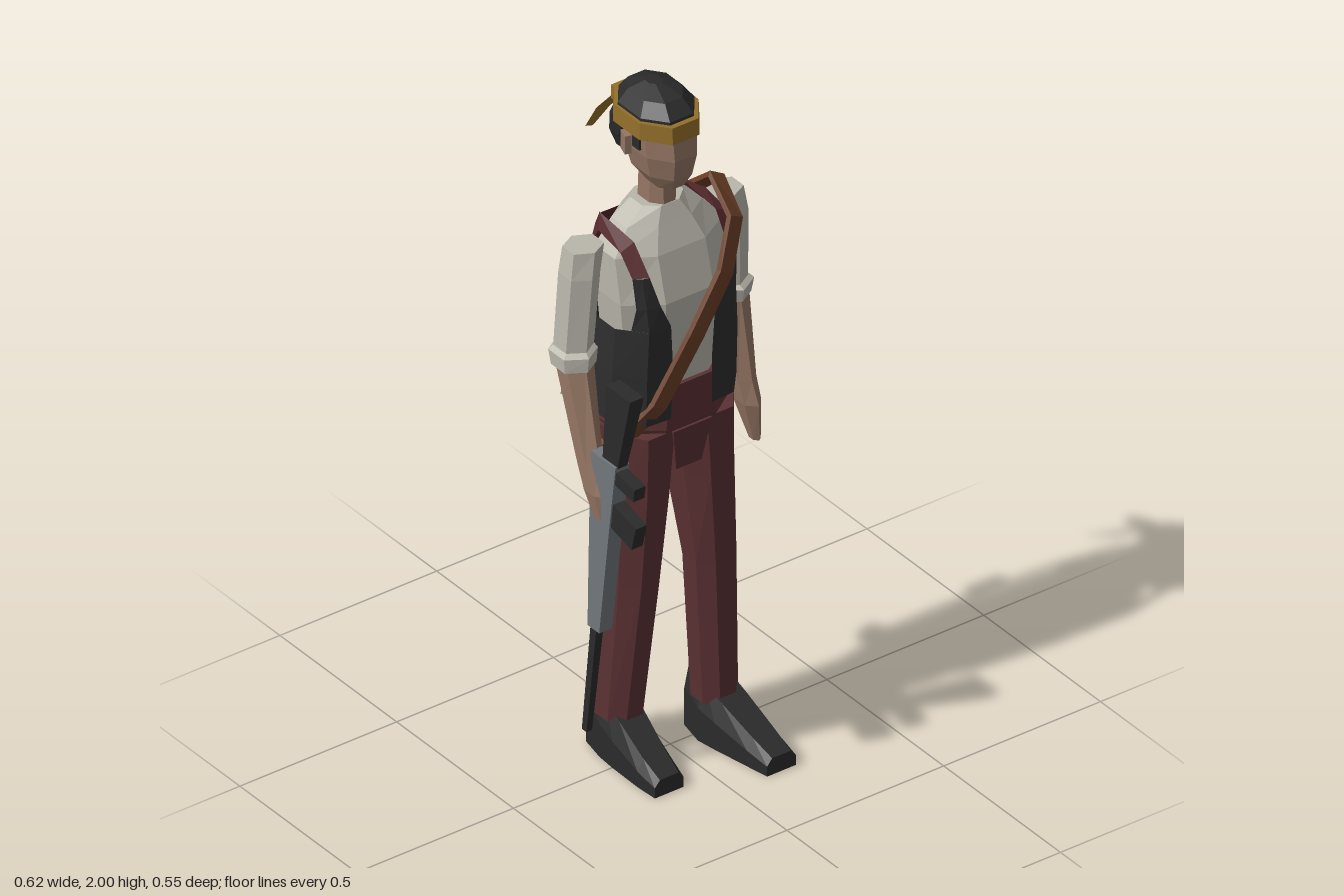
import * as THREE from 'three';

const mat = (name, color, side = THREE.FrontSide) => {
  const m = new THREE.MeshStandardMaterial({ color, flatShading: true, side });
  m.name = name;
  return m;
};

// Cross-sections at height y: rectangle, chamfered octagon, hexagon
const rect = (y, x0, x1, z0, z1) => [[x0, y, z1], [x1, y, z1], [x1, y, z0], [x0, y, z0]];
const oct = (y, x0, x1, z0, z1, c = 0.28) => {
  const dx = (x1 - x0) * c, dz = (z1 - z0) * c;
  return [[x0 + dx, y, z1], [x1 - dx, y, z1], [x1, y, z1 - dz], [x1, y, z0 + dz],
    [x1 - dx, y, z0], [x0 + dx, y, z0], [x0, y, z0 + dz], [x0, y, z1 - dz]];
};
const sym = (y, hx, z0, z1, c) => oct(y, -hx, hx, z0, z1, c);
const hex = (y, cx, cz, rx, rz) => Array.from({ length: 6 }, (_, i) => {
  const a = (i + 0.5) * Math.PI / 3;
  return [cx + Math.cos(a) * rx * 1.12, y, cz - Math.sin(a) * rz];
});

function toGeometry(tris) {
  const g = new THREE.BufferGeometry();
  g.setAttribute('position', new THREE.Float32BufferAttribute(tris.flat(2), 3));
  g.computeVertexNormals();
  return g;
}

// Solid skin through a list of rings, turned so that faces point outwards
function loft(rings, capped = true) {
  const tris = [], n = rings[0].length;
  for (let i = 0; i < rings.length - 1; i++) {
    for (let j = 0; j < n; j++) {
      const k = (j + 1) % n, a = rings[i], b = rings[i + 1];
      tris.push([a[j], a[k], b[k]], [a[j], b[k], b[j]]);
    }
  }
  if (capped) {
    [rings[0], rings.at(-1)].forEach((r, end) => {
      const mid = [0, 1, 2].map(d => r.reduce((s, p) => s + p[d], 0) / n);
      for (let j = 0; j < n; j++) {
        const k = (j + 1) % n;
        tris.push(end ? [r[j], r[k], mid] : [r[k], r[j], mid]);
      }
    });
  }
  const v = p => new THREE.Vector3(...p);
  const volume = tris.reduce((s, t) => s + v(t[0]).dot(v(t[1]).cross(v(t[2]))), 0);
  return toGeometry(volume < 0 ? tris.map(t => [t[0], t[2], t[1]]) : tris);
}

// Open sheet from rows of points, mirrored in x when s is -1
function patch(rows, s = 1) {
  const tris = [];
  const R = rows.map(r => {
    const q = r.map(([x, y, z]) => [x * s, y, z]);
    return s < 0 ? q.reverse() : q;
  });
  for (let i = 0; i < R.length - 1; i++) {
    for (let j = 0; j < R[i].length - 1; j++) {
      tris.push([R[i][j], R[i][j + 1], R[i + 1][j + 1]], [R[i][j], R[i + 1][j + 1], R[i + 1][j]]);
    }
  }
  return toGeometry(tris);
}

export function createModel() {
  const D = THREE.DoubleSide;
  const shirt = mat('shirt', 0xb9b6ab), black = mat('black', 0x2b2b2b), vest = mat('vest', 0x2d2e2d, D);
  const red = mat('darkRed', 0x5b3133), lining = mat('vestLining', 0x56292c, D);
  const skin = mat('skin', 0x957664), gold = mat('gold', 0x94702a, D);
  const leather = mat('leather', 0x6a3e26), steel = mat('steel', 0x71777c);
  const model = new THREE.Group();
  model.name = 'figure';
  const add = (name, geo, m, parent = model) => {
    const mesh = new THREE.Mesh(geo, m);
    mesh.name = name;
    parent.add(mesh);
    return mesh;
  };
  const box = (name, m, size, pos, rot = [0, 0, 0]) => {
    const b = add(name, new THREE.BoxGeometry(...size), m);
    b.position.set(...pos);
    b.rotation.set(...rot);
  };

  // Head, neck and hair
  add('neck', loft([sym(1.6, 0.045, -0.115, 0), sym(1.76, 0.04, -0.11, -0.005)]), skin);
  add('head', loft([sym(1.725, 0.042, -0.07, 0.035), sym(1.765, 0.066, -0.13, 0.055),
    sym(1.83, 0.08, -0.15, 0.068), sym(1.93, 0.086, -0.165, 0.06)]), skin);
  add('hairTop', loft([sym(1.9, 0.088, -0.175, 0.055), sym(1.945, 0.086, -0.17, 0.05),
    sym(1.98, 0.062, -0.145, 0.015), sym(2, 0.02, -0.095, -0.05)]), black);
  add('hairBack', loft([sym(1.79, 0.065, -0.16, -0.1), sym(1.84, 0.083, -0.175, -0.085),
    sym(1.9, 0.09, -0.178, -0.04)]), black);
  for (const s of [1, -1]) {
    box('ear', skin, [0.018, 0.055, 0.035], [s * 0.089, 1.845, -0.07], [0, s * 0.3, 0]);
    box('sideburn', black, [0.01, 0.05, 0.03], [s * 0.083, 1.87, -0.03]);
  }

  // Headband with knot and two tails
  add('headband', loft([sym(1.887, 0.096, -0.188, 0.068), sym(1.937, 0.094, -0.186, 0.066)]), gold);
  box('knot', gold, [0.07, 0.04, 0.025], [0, 1.905, -0.195]);
  for (const s of [1, -1]) {
    const tip = s > 0 ? 0.092 : 0.066;
    add('bandTail', patch([[[tip, 1.775, -0.275], [tip - 0.022, 1.77, -0.272]],
      [[0.06, 1.85, -0.235], [0.015, 1.835, -0.24]],
      [[0.025, 1.915, -0.19], [-0.005, 1.9, -0.19]]], s), gold);
  }

  // Shirt and hips
  add('shirtBody', loft([sym(1.08, 0.15, -0.14, 0.068), sym(1.25, 0.157, -0.145, 0.078),
    sym(1.42, 0.172, -0.15, 0.084), sym(1.55, 0.172, -0.148, 0.05),
    sym(1.615, 0.12, -0.135, 0.02), sym(1.66, 0.066, -0.115, 0)]), shirt);
  add('hips', loft([sym(0.9, 0.06, -0.11, 0.06), sym(1.0, 0.165, -0.155, 0.085),
    sym(1.04, 0.182, -0.16, 0.092), sym(1.16, 0.155, -0.148, 0.085)]), red);
  add('beltFlap', loft([rect(0.9, -0.04, 0.04, 0.05, 0.08), rect(1.03, -0.062, 0.062, 0.05, 0.097)]), red);

  // Open vest: two mirrored halves, with lining straps and back yoke
  for (const s of [1, -1]) {
    const row = (y, inner, hx, z0, z1) => [[inner, y, z1 + 0.006], [hx * 0.7, y, z1], [hx, y, z1 - 0.07],
      [hx, y, z0 + 0.07], [hx * 0.55, y, z0], [0, y, z0 - 0.006]];
    add('vestSide', patch([row(1.07, 0.065, 0.2, -0.158, 0.085), row(1.22, 0.062, 0.2, -0.16, 0.09),
      row(1.36, 0.07, 0.193, -0.164, 0.092)], s), vest);
    add('vestFront', patch([[[0.07, 1.36, 0.098], [0.135, 1.36, 0.092], [0.165, 1.36, 0.055]],
      [[0.1, 1.43, 0.094], [0.14, 1.43, 0.088], [0.16, 1.43, 0.07]],
      [[0.125, 1.52, 0.08], [0.145, 1.52, 0.075], [0.165, 1.52, 0.06]]], s), vest);
    add('vestBack', patch([[[0.193, 1.36, -0.095], [0.107, 1.36, -0.164], [0, 1.36, -0.17]],
      [[0.183, 1.48, -0.11], [0.12, 1.47, -0.165], [0, 1.47, -0.17]]], s), vest);
    add('vestYoke', patch([[[0.183, 1.48, -0.11], [0.12, 1.47, -0.165], [0, 1.47, -0.17]],
      [[0.182, 1.55, -0.1], [0.12, 1.56, -0.16], [0, 1.56, -0.162]],
      [[0.165, 1.605, -0.08], [0.13, 1.61, -0.13], [0, 1.59, -0.152]]], s), lining);
    add('vestShoulder', patch([[[0.125, 1.52, 0.08], [0.165, 1.52, 0.06]],
      [[0.13, 1.6, 0.02], [0.17, 1.58, 0.015]],
      [[0.13, 1.615, -0.13], [0.17, 1.6, -0.08]]], s), lining);
  }

  // Legs: the left one steps forward
  const hip = s => [oct(0.84, ...(s > 0 ? [0.022, 0.182] : [-0.182, -0.022]), -0.115, 0.086),
    oct(1.03, ...(s > 0 ? [0, 0.188] : [-0.188, 0]), -0.16, 0.09)];
  add('leftLeg', loft([oct(0.12, 0.07, 0.183, -0.04, 0.078), oct(0.56, 0.048, 0.177, -0.05, 0.083), ...hip(1)]), red);
  add('rightLeg', loft([oct(0.12, -0.176, -0.06, -0.13, 0.005), oct(0.56, -0.172, -0.043, -0.112, 0.06), ...hip(-1)]), red);

  // Boots: sections running from heel to toe [z, half width, top height, sideways shift]
  const boot = (name, x, z, turn) => add(name, loft([[-0.05, 0.048, 0.19, 0], [0.03, 0.064, 0.165, 0],
    [0.09, 0.062, 0.135, 0.3], [0.2, 0.054, 0.08, 0.8], [0.27, 0.046, 0.05, 1]].map(([dz, w, h, t]) => {
    const cx = x + turn * t;
    return [[cx - w, 0, z + dz], [cx + w, 0, z + dz], [cx + w, h * 0.6, z + dz],
      [cx + w * 0.65, h, z + dz], [cx - w * 0.65, h, z + dz], [cx - w, h * 0.6, z + dz]];
  })), black);
  boot('leftBoot', 0.13, 0, 0.024);
  boot('rightBoot', -0.117, -0.09, -0.02);

  // Arms
  const arm = (side, sleeve, fore) => {
    add(side + 'Sleeve', loft(sleeve.map(r => hex(...r))), shirt);
    add(side + 'Forearm', loft(fore.map(r => hex(...r))), skin);
  };
  arm('left', [[1.235, 0.257, -0.095, 0.052, 0.06], [1.275, 0.256, -0.097, 0.06, 0.07],
    [1.285, 0.253, -0.096, 0.048, 0.055], [1.5, 0.24, -0.08, 0.05, 0.056], [1.575, 0.225, -0.08, 0.052, 0.05]],
  [[0.81, 0.292, -0.03, 0.012, 0.02], [0.93, 0.276, -0.042, 0.027, 0.052],
    [1.0, 0.268, -0.053, 0.03, 0.045], [1.25, 0.257, -0.095, 0.047, 0.052]]);
  arm('right', [[1.235, -0.257, -0.068, 0.052, 0.06], [1.275, -0.254, -0.075, 0.056, 0.068],
    [1.285, -0.25, -0.078, 0.046, 0.055], [1.5, -0.232, -0.078, 0.048, 0.056], [1.575, -0.218, -0.08, 0.05, 0.05]],
  [[0.83, -0.272, 0.085, 0.018, 0.025], [0.92, -0.278, 0.06, 0.026, 0.045],
    [1.0, -0.276, 0.025, 0.028, 0.042], [1.25, -0.256, -0.068, 0.045, 0.05]]);

  // Shoulder strap: flat band swept round the body from right hip to left shoulder
  const path = [[-0.195, 1.0, 0.03], [-0.11, 1.13, 0.097], [0, 1.31, 0.108], [0.1, 1.46, 0.1],
    [0.165, 1.58, 0.055], [0.184, 1.645, -0.05], [0.17, 1.545, -0.165], [0.08, 1.42, -0.185],
    [-0.08, 1.19, -0.185], [-0.17, 1.065, -0.17], [-0.205, 1.0, -0.08]].map(p => new THREE.Vector3(...p));
  const centre = new THREE.Vector3(0, 1.31, -0.04);
  const bands = path.map((p, i) => {
    const t = path[(i + 1) % path.length].clone().sub(path.at(i - 1)).normalize();
    const out = p.clone().sub(centre);
    out.addScaledVector(t, -out.dot(t)).normalize();
    const wide = t.clone().cross(out);
    return [[-1, -1], [1, -1], [1, 1], [-1, 1]].map(([a, b]) =>
      p.clone().addScaledVector(wide, a * 0.024).addScaledVector(out, b * 0.008).toArray());
  });
  add('shoulderStrap', loft([...bands, bands[0]], false), leather);
  box('strapPouch', leather, [0.075, 0.075, 0.04], [0, 1.3, -0.203], [0, 0, -0.6]);
  box('strapBuckle', leather, [0.07, 0.05, 0.04], [-0.175, 1.07, -0.18], [0, 0.6, -0.6]);

  // Rifle held muzzle down
  const gun = (name, m, ...rings) => add(name, loft(rings.map(r => rect(...r))), m);
  gun('rifleStock', black, [1.03, -0.283, -0.252, 0.09, 0.153], [1.275, -0.29, -0.246, 0.115, 0.218]);
  gun('rifleBody', steel, [0.5, -0.292, -0.25, 0.038, 0.088], [0.82, -0.292, -0.248, 0.045, 0.128],
    [1.04, -0.29, -0.246, 0.05, 0.155]);
  gun('rifleBarrel', black, [0.17, -0.293, -0.275, 0.015, 0.035], [0.51, -0.291, -0.268, 0.05, 0.075]);
  box('rifleGrip', black, [0.036, 0.04, 0.09], [-0.269, 1.0, 0.185], [0.15, 0, 0]);
  box('rifleMagazine', black, [0.036, 0.075, 0.1], [-0.269, 0.872, 0.18], [0.25, 0, 0]);
  return model;
}
